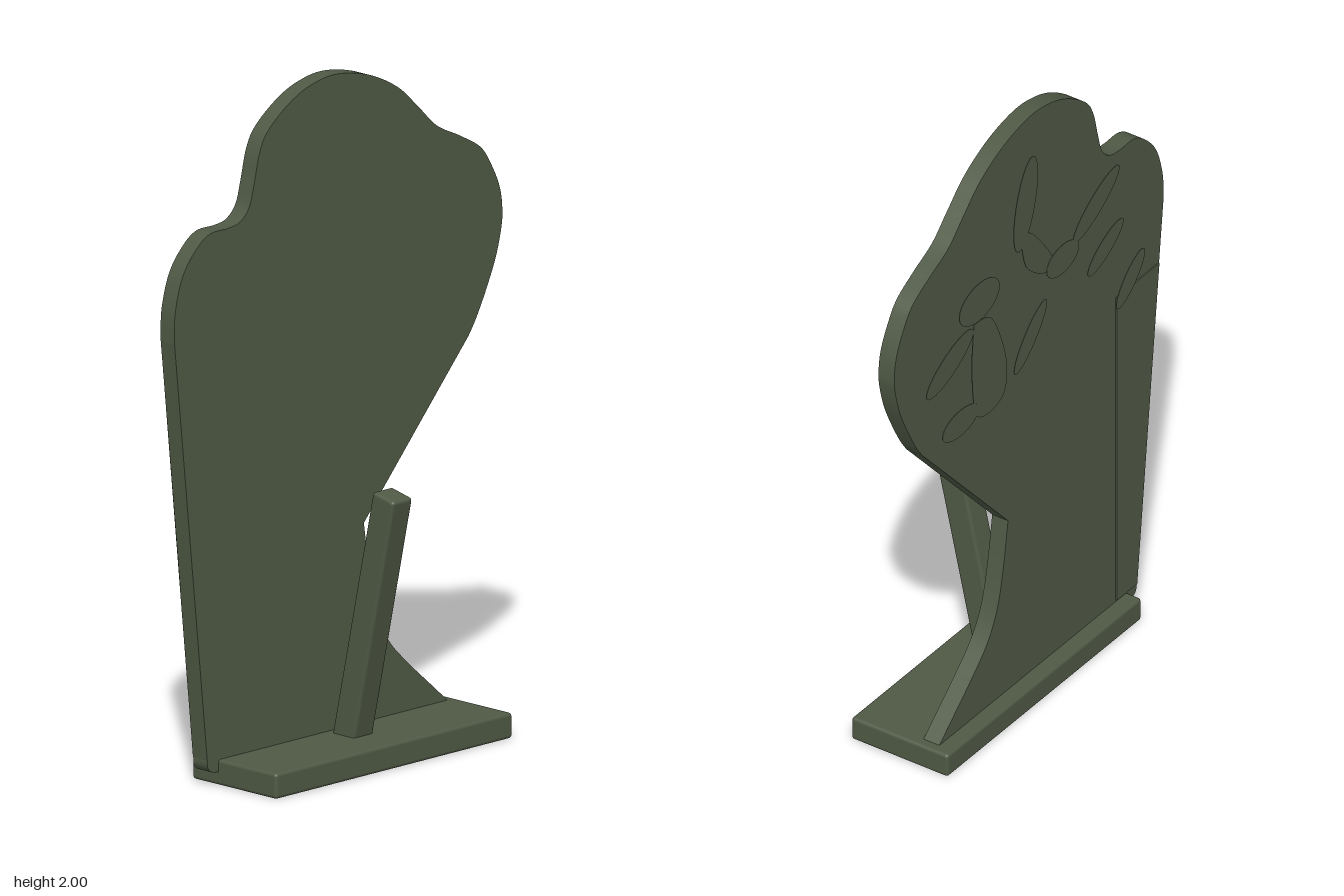
import * as THREE from 'three';
import { RoundedBoxGeometry } from 'three/addons/geometries/RoundedBoxGeometry.js';

export function createModel() {
  const group = new THREE.Group();
  const olive = new THREE.MeshStandardMaterial({ color: 0x4f5945 });
  olive.name = 'olive green';

  const add = (name, geometry) => {
    const mesh = new THREE.Mesh(geometry, olive);
    mesh.name = name;
    group.add(mesh);
    return mesh;
  };
  const pts = list => list.map(([u, y]) => new THREE.Vector2(u, y));

  // Upright slab: a side outline (u = -z, y) given thickness along x
  const slab = (name, shape, x, thickness) => {
    const g = new THREE.ExtrudeGeometry(shape, { depth: thickness, bevelEnabled: false, curveSegments: 12 });
    g.rotateY(Math.PI / 2);
    g.translate(x, 0, 0);
    return add(name, g);
  };

  // Main cut-out board: straight arm edges, curved head and curved heel
  const board = new THREE.Shape();
  board.moveTo(-0.49, 0.04);
  board.lineTo(0.46, 0.04);
  board.lineTo(0.45, 0.07);
  board.splineThru(pts([[0.37, 0.14], [0.29, 0.21], [0.21, 0.29], [0.16, 0.38], [0.13, 0.5], [0.105, 0.66]]));
  board.lineTo(0.53, 1.13);
  board.splineThru(pts([[0.56, 1.175], [0.6, 1.25], [0.64, 1.34], [0.662, 1.42], [0.667, 1.475], [0.656, 1.545],
    [0.62, 1.62], [0.577, 1.677], [0.497, 1.724], [0.402, 1.772], [0.328, 1.84], [0.243, 1.915],
    [0.127, 1.973], [0, 2], [-0.1, 1.99], [-0.19, 1.955], [-0.28, 1.89], [-0.317, 1.83], [-0.339, 1.745],
    [-0.36, 1.676], [-0.397, 1.64], [-0.444, 1.63], [-0.52, 1.627], [-0.577, 1.59], [-0.63, 1.522],
    [-0.66, 1.422], [-0.663, 1.33]]));
  board.lineTo(-0.53, 0.08);
  board.quadraticCurveTo(-0.535, 0.04, -0.49, 0.04);
  slab('board', board, -0.135, 0.055);

  // Thin panel along the long straight edge
  slab('edgePanel', new THREE.Shape(pts([[-0.528, 0.08], [-0.427, 0.08], [-0.427, 1.13], [-0.638, 1.13]])), -0.139, 0.004);

  // Raised oval plates: centre z, y, half length, half width, angle in (u, y)
  const oval = (name, z, y, a, b, angle) => {
    const shape = new THREE.Shape();
    shape.absellipse(-z, y, a, b, 0, Math.PI * 2, false, angle);
    slab(name, shape, -0.148, 0.002);
  };
  // Slender leaves given by their two end points (z, y) and half width
  [
    [0, 1.87, -0.07, 1.575, 0.05],
    [0.427, 1.594, 0.2, 1.454, 0.04],
    [0.447, 1.398, 0.272, 1.297, 0.035],
    [0.55, 1.236, 0.416, 1.1, 0.035],
    [-0.295, 1.436, -0.525, 1.327, 0.045],
    [0.066, 1.336, -0.089, 1.162, 0.035],
  ].forEach(([z1, y1, z2, y2, w]) =>
    oval('leafPlate', (z1 + z2) / 2, (y1 + y2) / 2, Math.hypot(z2 - z1, y2 - y1) / 2, w, Math.atan2(y2 - y1, z1 - z2)));
  // Rounder plates
  oval('roundPlate', 0.148, 1.428, 0.08, 0.05, 0);
  oval('roundPlate', -0.264, 1.515, 0.1, 0.065, 0);
  oval('roundPlate', -0.357, 1.148, 0.09, 0.045, 0);

  // Stems joining the plates
  const stem = outline => {
    const shape = new THREE.Shape();
    shape.moveTo(-outline[0][0], outline[0][1]);
    shape.splineThru(pts(outline.slice(1).concat([outline[0]]).map(([z, y]) => [-z, y])));
    slab('stemPlate', shape, -0.147, 0.002);
  };
  stem([[-0.29, 1.45], [-0.2, 1.42], [-0.13, 1.24], [-0.15, 1.12], [-0.27, 1.12], [-0.3, 1.28]]);
  stem([[-0.06, 1.62], [0, 1.6], [0.1, 1.46], [0.06, 1.43], [-0.03, 1.5]]);

  // Foot
  add('base', new RoundedBoxGeometry(0.335, 0.075, 0.96, 2, 0.01)).position.set(-0.0175, 0.0375, 0.005);

  // Leaning rest behind the board
  const strut = add('strut', new RoundedBoxGeometry(0.086, 0.79, 0.08, 2, 0.01));
  strut.position.set(0.059, 0.419, 0.005);
  strut.rotation.z = -0.215;

  return group;
}
